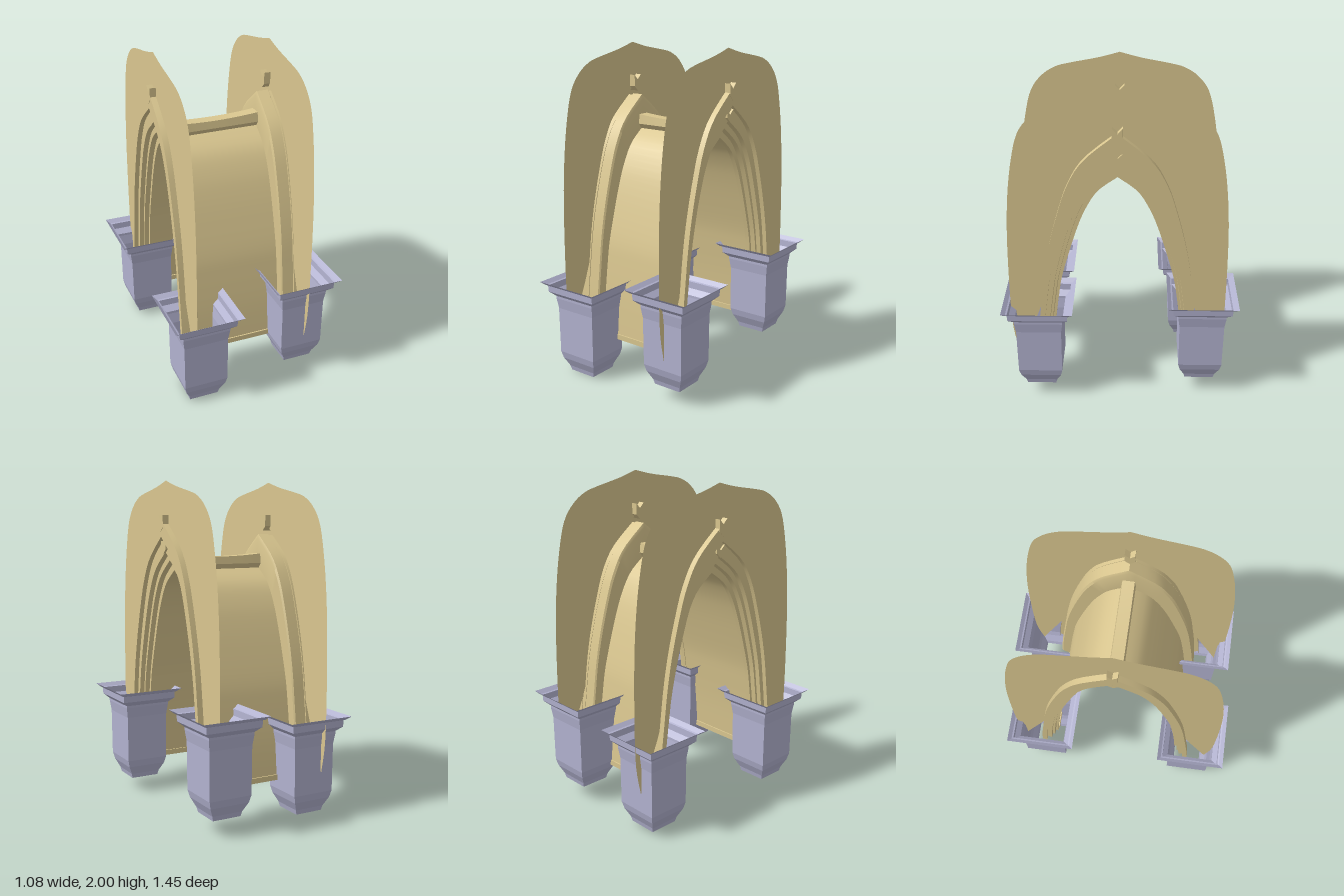
import * as THREE from 'three';
import { toCreasedNormals } from 'three/addons/utils/BufferGeometryUtils.js';

const sand = new THREE.MeshStandardMaterial({ color: 0xd9c68f, side: THREE.DoubleSide });
sand.name = 'sandstone';
const grey = new THREE.MeshStandardMaterial({ color: 0xb2b2cf, side: THREE.DoubleSide, flatShading: true });
grey.name = 'blueGreyStone';

// Half arch curves as [z, y], apex to foot; inner and outer points correspond
const curve = pts => new THREE.SplineCurve(pts.map(p => new THREE.Vector2(...p)));
const inner = curve([[0, 1.47], [.116, 1.38], [.19, 1.26], [.243, 1.127], [.296, .957], [.339, .8], [.36, .68], [.39, .45], [.41, .21]]);
const outer = curve([[0, 1.77], [.19, 1.61], [.285, 1.455], [.345, 1.28], [.4, 1.07], [.435, .88], [.46, .68], [.487, .45], [.5, .28]]);
const archPoint = (t, u) => inner.getPoint(u).lerp(outer.getPoint(u), t);

// Whole arch from one foot over the apex to the other, t = 0 inner to 1 outer
function fullArch(t, n = 28) {
  const pts = [];
  for (let i = -n; i <= n; i++) {
    const p = archPoint(t, Math.abs(i) / n);
    pts.push([i < 0 ? -p.x : p.x, p.y]);
  }
  return pts;
}

// Grid surface through equal rows of [x, y, z]
function sheet(rows, crease = 0.5) {
  const n = rows[0].length, index = [];
  for (let r = 0; r < rows.length - 1; r++) {
    for (let i = 0; i < n - 1; i++) {
      const a = r * n + i, b = a + n;
      index.push(a, a + 1, b, b, a + 1, b + 1);
    }
  }
  const g = new THREE.BufferGeometry();
  g.setAttribute('position', new THREE.Float32BufferAttribute(rows.flat(2), 3));
  g.setIndex(index);
  return toCreasedNormals(g, crease);
}

function add(parent, name, geometry, material, x = 0, y = 0, z = 0) {
  const m = new THREE.Mesh(geometry, material);
  m.name = name;
  m.position.set(x, y, z);
  parent.add(m);
  return m;
}

// Thin wall face around the arch, with legs tapering to points
function wallGeometry() {
  const edge = curve([[0, 2], [.13, 1.965], [.31, 1.93], [.4, 1.905], [.485, 1.85], [.555, 1.755],
    [.597, 1.6], [.63, 1.38], [.65, 1.1], [.656, .7], [.648, .45], [.615, .27]]).getPoints(44);
  const half = [...edge, new THREE.Vector2(.56, .4), new THREE.Vector2(.49, .56)];
  for (let i = 21; i >= 0; i--) half.push(archPoint(.85, i / 28));
  const flip = p => new THREE.Vector2(-p.x, p.y);
  const shape = new THREE.Shape([...half, ...half.slice(1, -1).reverse().map(flip)]);
  return new THREE.ShapeGeometry(shape).rotateY(-Math.PI / 2);
}

// Notched keystone block, extruded along x and ending at x = 0
function keystoneGeometry(w, low, high, depth) {
  const s = new THREE.Shape([[-w, low], [0, low - .03], [w, low], [w, high], [0, high - .03], [-w, high]]
    .map(p => new THREE.Vector2(...p)));
  return new THREE.ExtrudeGeometry(s, { depth, bevelEnabled: false }).rotateY(-Math.PI / 2);
}

// Stepped moulding profile as [x, t]
const mouldingProfile = [[.34, 1], [.375, 1], [.375, .67], [.347, .67], [.347, .37], [.318, .35], [.318, .2],
  [.288, .17], [.288, 0], [.26, 0], [.26, .62], [.268, .7], [.34, .7]];

function archFace(side) {
  const g = new THREE.Group();
  g.name = side > 0 ? 'leftArch' : 'rightArch';
  const X = x => side > 0 ? x : -x - .037;
  add(g, 'wallFace', wallGeometry(), sand, X(.34));
  const rows = mouldingProfile.map(([x, t]) => fullArch(t).map(([z, y]) => [X(x), y, z]));
  if (side < 0) rows.reverse();
  add(g, 'archMoulding', sheet(rows), sand);
  const keys = [['upperKeystone', .03, 1.73, 1.8, .3, .377], ['lowerKeystone', .032, 1.6, 1.645, .3, .36]];
  for (const [name, w, low, high, x0, x1] of keys) {
    add(g, name, keystoneGeometry(w, low, high, x1 - x0), sand, side > 0 ? x1 : X(x0));
  }
  return g;
}

// Hollow square bracket: half width and height of each level
const bracketProfile = [[.09, 0], [.097, .03], [.124, .085], [.135, .13], [.137, .42], [.146, .485], [.146, .5],
  [.178, .53], [.18, .57], [.19, .574], [.213, .595]];

export function createModel() {
  const model = new THREE.Group();
  model.name = 'archedPassage';
  model.add(archFace(1), archFace(-1));

  // Vault between the two arches
  const x0 = -.3, x1 = .265;
  const vault = fullArch(.04);
  add(model, 'vault', sheet([x1, x0].map(x => vault.map(([z, y]) => [x, y, z]))), sand);

  // Ridge bar, sagging slightly towards the middle
  const ridge = [[-.02, 1.47], [-.043, 1.5], [-.036, 1.56], [0, 1.56], [.036, 1.56], [.043, 1.5], [.02, 1.47]];
  const bar = [];
  for (let i = 0; i <= 12; i++) {
    const k = 1 - i / 6, sag = .014 * (1 - k * k);
    bar.push(ridge.map(([z, y]) => [(x0 + x1) / 2 + k * (x1 - x0) / 2, y > 1.52 ? y - sag : y, z]));
  }
  add(model, 'ridgeBar', sheet(bar), sand);

  // Rails along the foot of the vault
  for (const s of [-1, 1]) {
    add(model, 'footRail', new THREE.BoxGeometry(x1 - x0, .033, .016), sand, (x0 + x1) / 2, .219, s * .412);
  }

  // Four brackets, each slightly offset
  const points = bracketProfile.map(([r, y]) => new THREE.Vector2(r * Math.SQRT2, y));
  const bracket = new THREE.LatheGeometry(points, 4, Math.PI / 4);
  const places = [
    ['backRightBracket', -.328, .018, -.473], ['backLeftBracket', .268, .097, -.517],
    ['frontRightBracket', -.318, 0, .51], ['frontLeftBracket', .325, .085, .478]];
  for (const [name, x, y, z] of places) add(model, name, bracket, grey, x, y, z);
  return model;
}
